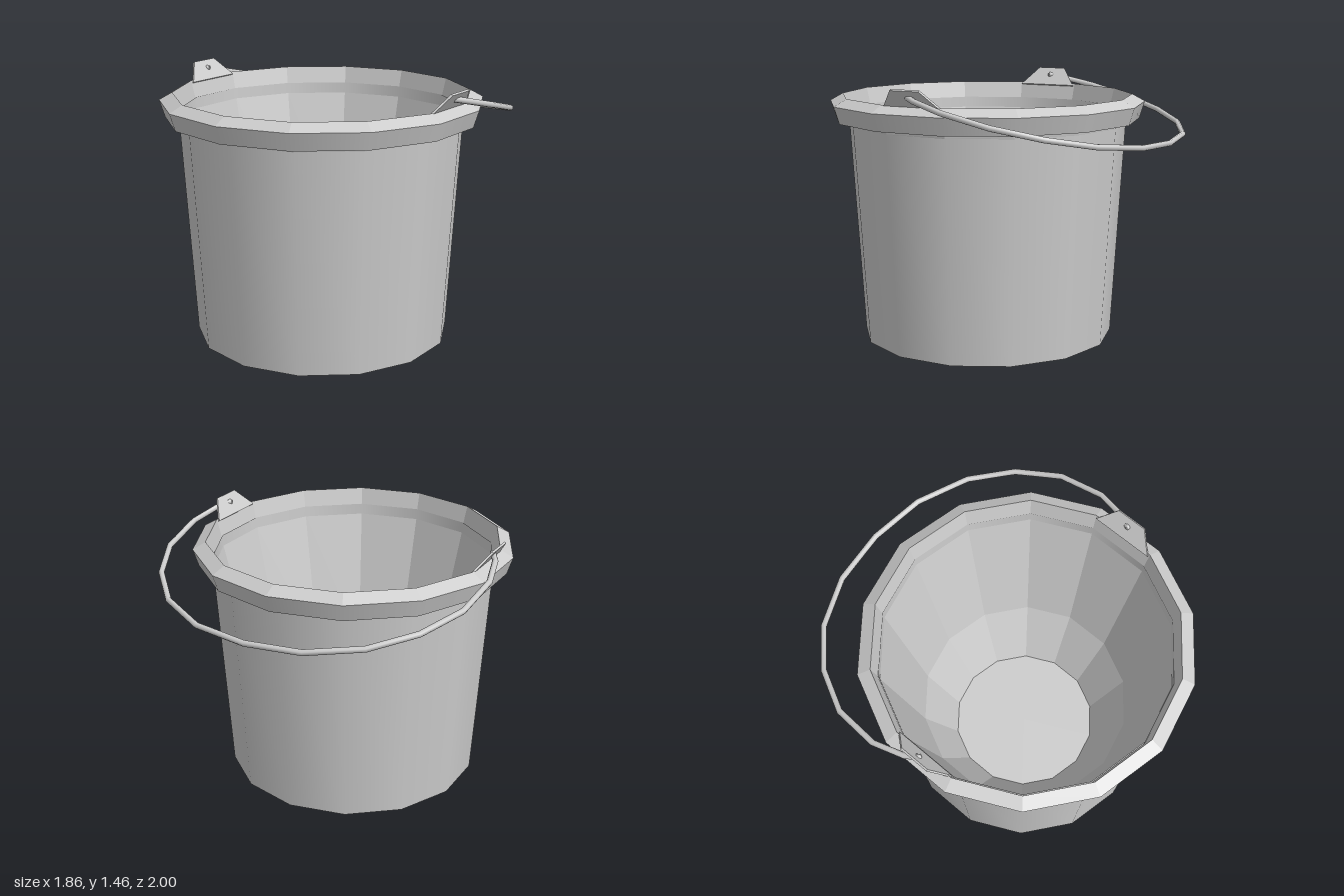
import * as THREE from 'three';

const SIDES = 14;
const CENTRE_Z = 0.11;

const material = (flat) => new THREE.MeshStandardMaterial({
  color: 0xcccccc, flatShading: flat, side: THREE.DoubleSide,
});

// Profile of [radius, y] pairs turned around the bucket's axis
function turned(name, profile, flat) {
  const points = profile.map(([r, y]) => new THREE.Vector2(r, y));
  const mesh = new THREE.Mesh(new THREE.LatheGeometry(points, SIDES), material(flat));
  mesh.name = name;
  return mesh;
}

// Straight-segment path with one sample at every corner
class Polyline extends THREE.Curve {
  constructor(points) {
    super();
    this.points = points;
  }
  getPoint(t, target = new THREE.Vector3()) {
    const f = t * (this.points.length - 1);
    const i = Math.min(Math.floor(f), this.points.length - 2);
    return target.lerpVectors(this.points[i], this.points[i + 1], f - i);
  }
  getUtoTmapping(u) {
    return u;
  }
}

// Tilted lug on the rim with the pin that holds the handle
function createEar() {
  const ear = new THREE.Group();
  const shape = new THREE.Shape([
    new THREE.Vector2(-0.175, 0),
    new THREE.Vector2(0.175, 0),
    new THREE.Vector2(0.085, 0.122),
    new THREE.Vector2(-0.085, 0.122),
  ]);
  const plate = new THREE.Mesh(
    new THREE.ExtrudeGeometry(shape, { depth: 0.012, bevelEnabled: false }), material(true));
  plate.name = 'earPlate';
  plate.rotation.y = Math.PI / 2;

  const pin = new THREE.Mesh(new THREE.ConeGeometry(0.016, 0.02, 6), material(true));
  pin.name = 'handlePin';
  pin.rotation.z = Math.PI / 2;
  pin.position.set(-0.008, 0.07, 0);

  ear.add(plate, pin);
  ear.position.set(0.785, 1.365, 0);
  ear.rotation.z = -0.62;
  return ear;
}

// Swung-back wire handle, lying in one sloping plane, with rounded ends
function createHandle() {
  const half = [[0.83, 0.11], [0.868, 0.05], [0.915, -0.13], [0.893, -0.39],
    [0.775, -0.625], [0.585, -0.815], [0.31, -0.945]];
  const outline = [...half, [0, -0.983], ...half.map(([x, z]) => [-x, z]).reverse()];
  const points = outline.map(([x, z]) => new THREE.Vector3(x, 1.422 - 0.237 * (0.11 - z), z));
  const handle = new THREE.Group();
  handle.name = 'handle';
  const wire = new THREE.Mesh(
    new THREE.TubeGeometry(new Polyline(points), points.length - 1, 0.016, 8), material(false));
  wire.name = 'handleWire';
  handle.add(wire);
  for (const end of [points[0], points[points.length - 1]]) {
    const tip = new THREE.Mesh(new THREE.SphereGeometry(0.016, 8, 6), material(false));
    tip.name = 'handleTip';
    tip.position.copy(end);
    handle.add(tip);
  }
  return handle;
}

export function createModel() {
  const model = new THREE.Group();
  model.name = 'bucket';

  // Rim skirt hangs free of the outer wall and is open underneath
  const body = new THREE.Group();
  body.name = 'body';
  body.position.z = CENTRE_Z;
  body.add(
    turned('base', [[0, 0], [0.715, 0]], true),
    turned('outerWall', [[0.715, 0], [0.788, 1.28]], false),
    turned('rimSkirt', [[0.86, 1.24], [0.89, 1.335]], false),
    turned('rimTop', [[0.89, 1.335], [0.818, 1.375], [0.792, 1.27], [0.785, 1.22]], true),
    turned('innerWall', [[0.785, 1.22], [0.6, 0.42], [0.42, 0.05], [0, 0.05]], true),
  );

  // Matching ears on both sides
  for (const [name, turn] of [['leftEar', 0], ['rightEar', Math.PI]]) {
    const side = new THREE.Group();
    side.name = name;
    side.rotation.y = turn;
    side.add(createEar());
    body.add(side);
  }

  model.add(body, createHandle());
  return model;
}
